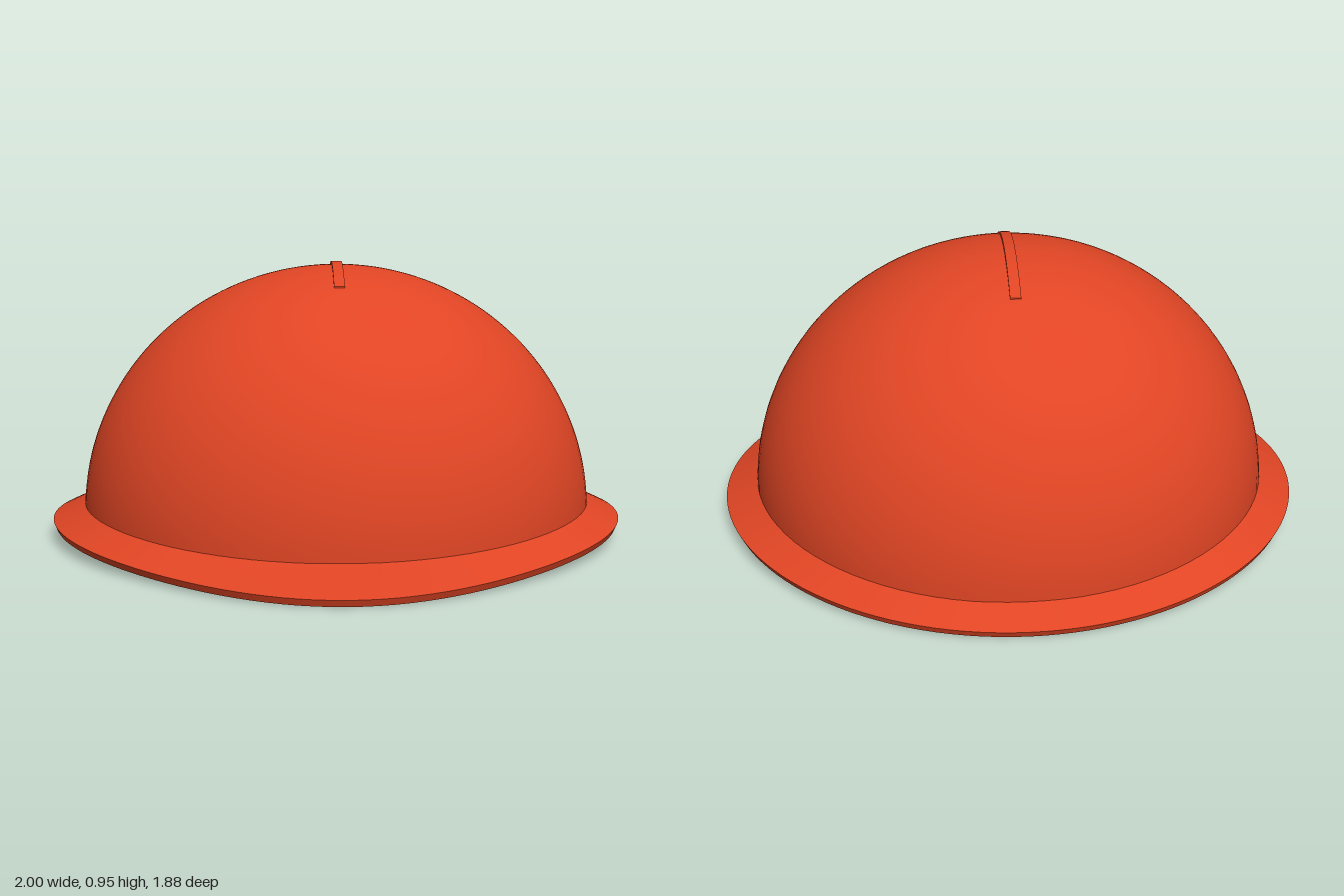
import * as THREE from 'three';

const CZ = -0.06; // dome centre along z
const BASE = 0.08; // dome centre height

export function createModel() {
  const model = new THREE.Group();
  const shellRed = new THREE.MeshStandardMaterial({ color: 0xe04524 });
  shellRed.name = 'shell red';
  const bandBlack = new THREE.MeshStandardMaterial({ color: 0x2a2a24 });
  bandBlack.name = 'band black';

  const add = (name, geometry, material = shellRed) => {
    const mesh = new THREE.Mesh(geometry, material);
    mesh.name = name;
    model.add(mesh);
    return mesh;
  };

  // Outer and inner dome: quarter-circle lathes scaled to ellipsoids
  const dome = (name, rx, ry, rz, inside) => {
    const profile = [];
    for (let i = 0; i <= 40; i++) {
      const a = (i / 40) * Math.PI / 2;
      profile.push(new THREE.Vector2(i === 40 ? 0 : Math.cos(a), Math.sin(a)));
    }
    if (inside) profile.reverse();
    const geometry = new THREE.LatheGeometry(profile, 96);
    geometry.scale(rx, ry, rz);
    geometry.translate(0, BASE, CZ);
    add(name, geometry);
  };
  dome('outerShell', 0.89, 0.865, 0.8, false);
  dome('innerShell', 0.855, 0.835, 0.77, true);

  // Brim: cross-section rings that droop at front and back, with a front peak
  const ring = (rx, rz, y, droop, peak = 0) => (t) => {
    const s = Math.sin(t);
    return [rx * Math.cos(t), y - droop * s * s, CZ + rz * s + peak * Math.max(0, s) ** 6];
  };
  const brimRings = [
    ring(0.99, 0.87, 0.045, 0.045, 0.12),
    ring(1.0, 0.88, 0.068, 0.045, 0.12),
    ring(0.888, 0.798, 0.12, 0.04),
    ring(0.854, 0.769, 0.13, 0.04),
    ring(0.854, 0.769, 0.075, 0.04),
  ];
  const N = 128;
  const position = [], index = [];
  brimRings.forEach((lower, k) => {
    const upper = brimRings[(k + 1) % brimRings.length];
    const start = position.length / 3;
    for (let i = 0; i < N; i++) {
      const t = (i / N) * Math.PI * 2;
      position.push(...lower(t), ...upper(t));
      const a = start + i * 2, b = start + ((i + 1) % N) * 2;
      index.push(a, a + 1, b, b, a + 1, b + 1);
    }
  });
  const brim = new THREE.BufferGeometry();
  brim.setAttribute('position', new THREE.Float32BufferAttribute(position, 3));
  brim.setIndex(index);
  brim.computeVertexNormals();
  add('brim', brim);

  // Low crest ridge along the crown, drawn as a thin arc and extruded across x
  const ridge = new THREE.Shape();
  const steps = 32;
  const crownPoint = (z, lift) => [z, BASE + 0.865 * Math.sqrt(1 - (z / 0.8) ** 2) + lift];
  for (let i = 0; i <= steps; i++) {
    const f = (i / steps) * 2 - 1;
    const p = crownPoint(f * 0.295, 0.004 + 0.006 * (1 - f * f));
    if (i === 0) ridge.moveTo(...p);
    else ridge.lineTo(...p);
  }
  for (let i = steps; i >= 0; i--) ridge.lineTo(...crownPoint(((i / steps) * 2 - 1) * 0.295, -0.015));
  const ridgeGeometry = new THREE.ExtrudeGeometry(ridge, { depth: 0.036, bevelEnabled: false });
  ridgeGeometry.translate(0, 0, -0.018);
  ridgeGeometry.rotateY(-Math.PI / 2);
  add('crestRidge', ridgeGeometry).position.z = CZ;

  // Headband ring
  const band = new THREE.TorusGeometry(0.605, 0.032, 16, 96);
  band.rotateX(Math.PI / 2);
  band.scale(1.02, 1, 0.98);
  add('headband', band, bandBlack).position.set(0, 0.072, CZ);

  // Arched tubes inside the dome
  const arch = (name, start, radius, pointAt) => {
    const points = [];
    for (let i = 0; i <= 16; i++) points.push(pointAt(start + (i / 16) * (Math.PI - 2 * start)));
    add(name, new THREE.TubeGeometry(new THREE.CatmullRomCurve3(points), 48, radius, 10, false))
      .geometry.computeBoundingSphere();
  };

  // Two crossing suspension straps that rise from the headband
  arch('sideStrap', 0, 0.022, (a) =>
    new THREE.Vector3(0.605 * Math.cos(a), 0.075 + 0.72 * Math.sin(a), CZ));
  arch('lengthStrap', 0, 0.022, (a) =>
    new THREE.Vector3(0, 0.075 + 0.72 * Math.sin(a), CZ + 0.585 * Math.cos(a)));

  // Three cross ribs following the inner shell
  for (const z of [-0.24, 0.06, 0.36]) {
    const k = Math.sqrt(1 - (z / 0.77) ** 2) * 0.985;
    arch('innerRib', Math.asin(0.32 / (0.835 * k)), 0.017, (a) =>
      new THREE.Vector3(0.855 * k * Math.cos(a), BASE + 0.835 * k * Math.sin(a), CZ + z));
  }

  // Small buckle near the front of the inner shell
  const buckle = add('buckle', new THREE.BoxGeometry(0.17, 0.05, 0.04), bandBlack);
  buckle.position.set(-0.17, 0.15, 0.68);
  buckle.rotation.y = -0.2;

  return model;
}
